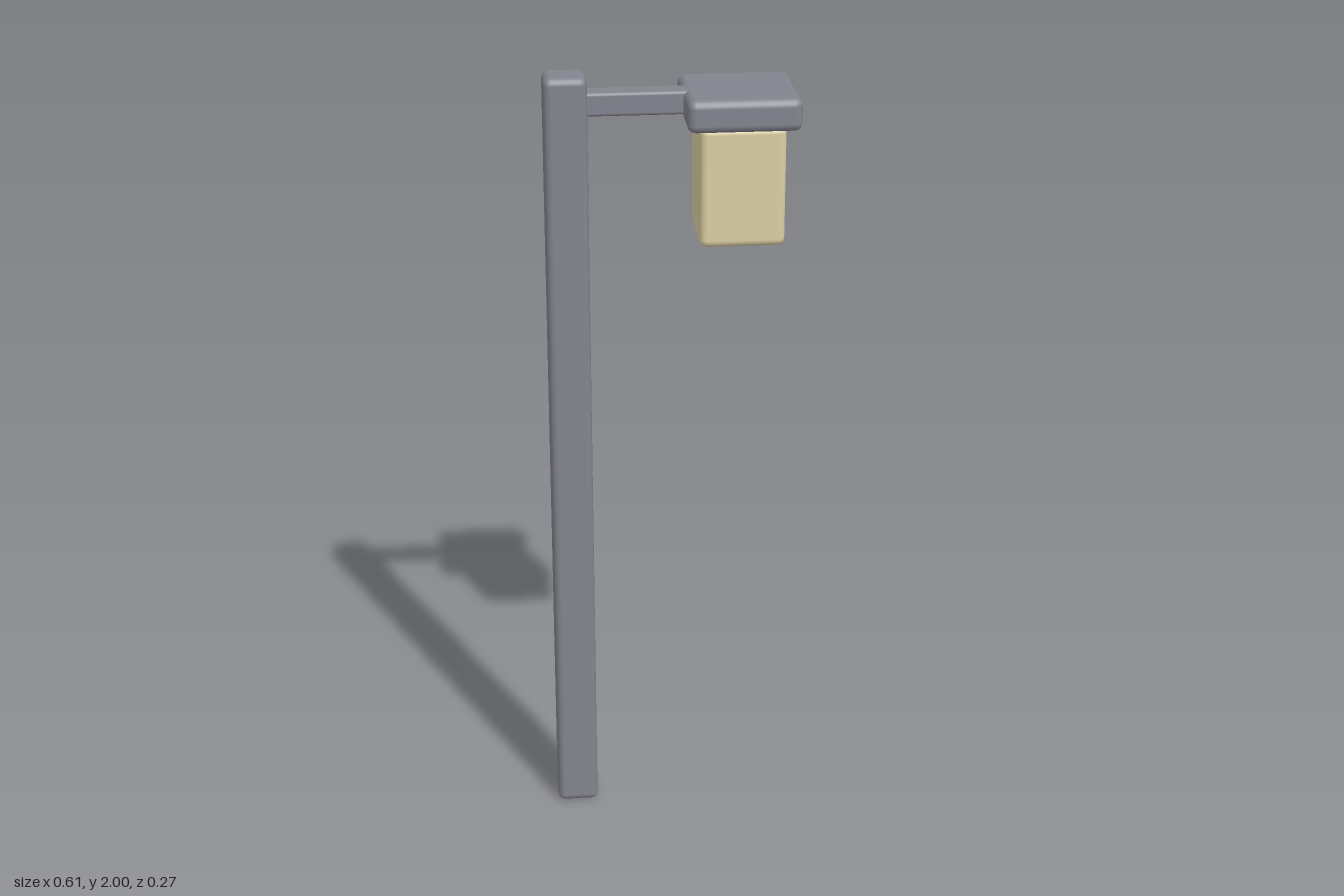
import * as THREE from 'three';
import { RoundedBoxGeometry } from 'three/addons/geometries/RoundedBoxGeometry.js';

export function createModel() {
  const model = new THREE.Group();
  model.name = 'lampPost';
  const metal = new THREE.MeshStandardMaterial({ color: 0x83848e });
  const glow = new THREE.MeshStandardMaterial({ color: 0xdccfa4 });

  // Soft-edged block given by its extents; every part is centred on z = 0
  function block(name, material, [x0, x1], [y0, y1], depth, radius) {
    const geometry = new RoundedBoxGeometry(x1 - x0, y1 - y0, depth, 2, radius);
    const mesh = new THREE.Mesh(geometry, material);
    mesh.name = name;
    mesh.position.set((x0 + x1) / 2, (y0 + y1) / 2, 0);
    model.add(mesh);
  }

  // Upright post and the arm reaching out from its top
  block('post', metal, [-0.305, -0.2], [0, 2], 0.105, 0.018);
  block('arm', metal, [-0.225, 0.1], [1.9, 1.958], 0.06, 0.008);

  // Hanging lantern under its flat cap
  block('lanternCap', metal, [0.031, 0.305], [1.88, 1.96], 0.274, 0.02);
  block('lantern', glow, [0.064, 0.272], [1.586, 1.885], 0.208, 0.018);

  return model;
}
